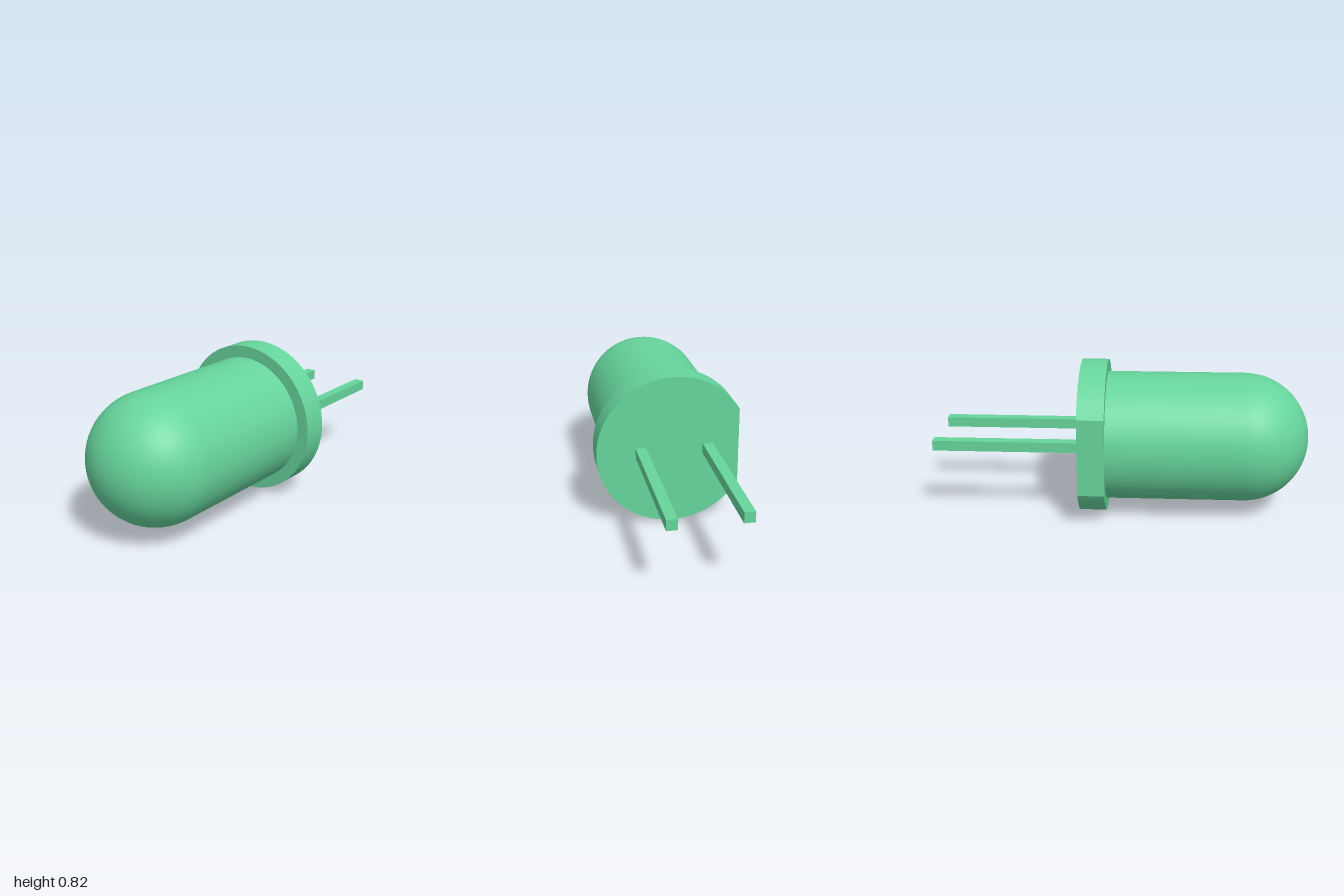
import * as THREE from 'three';
import { toCreasedNormals } from 'three/addons/utils/BufferGeometryUtils.js';

const CX = -0.028, CY = 0.411;      // axis of the round body
const BODY_R = 0.346, RIM_R = 0.411;
const RIM_BACK = -0.22, RIM_FRONT = -0.08;

export function createModel() {
  const group = new THREE.Group();
  const material = new THREE.MeshStandardMaterial({ color: 0x66d49c });

  const add = (name, geometry, x, y, z) => {
    const mesh = new THREE.Mesh(geometry, material);
    mesh.name = name;
    mesh.position.set(x, y, z);
    group.add(mesh);
    return mesh;
  };

  // Bulb: straight barrel closed by a hemispherical dome
  const length = 1 - RIM_FRONT - BODY_R;
  const profile = [new THREE.Vector2(BODY_R, 0)];
  for (let i = 0; i <= 24; i++) {
    const a = (i / 24) * Math.PI / 2;
    profile.push(new THREE.Vector2(i === 24 ? 0 : BODY_R * Math.cos(a), length + BODY_R * Math.sin(a)));
  }
  const bulb = new THREE.LatheGeometry(profile, 96).rotateX(Math.PI / 2);
  add('bulb', bulb, CX, CY, RIM_FRONT);

  // Rim: disc with one side cut flat
  const cut = Math.acos(0.354 / RIM_R);
  const outline = new THREE.Shape();
  outline.absarc(0, 0, RIM_R, -Math.PI + cut, Math.PI - cut, false);
  outline.closePath();
  const rim = new THREE.ExtrudeGeometry(outline, {
    depth: RIM_FRONT - RIM_BACK, bevelEnabled: false, curveSegments: 96,
  });
  add('rim', toCreasedNormals(rim, 0.2), CX, CY, RIM_BACK);

  // Two square leads running out of the back
  const leadLength = 1 + RIM_BACK;
  for (const [name, side] of [['leftLead', 1], ['rightLead', -1]]) {
    add(name, new THREE.BoxGeometry(0.055, 0.055, leadLength),
      CX - 0.004 + side * 0.18, CY, RIM_BACK - leadLength / 2);
  }

  return group;
}
